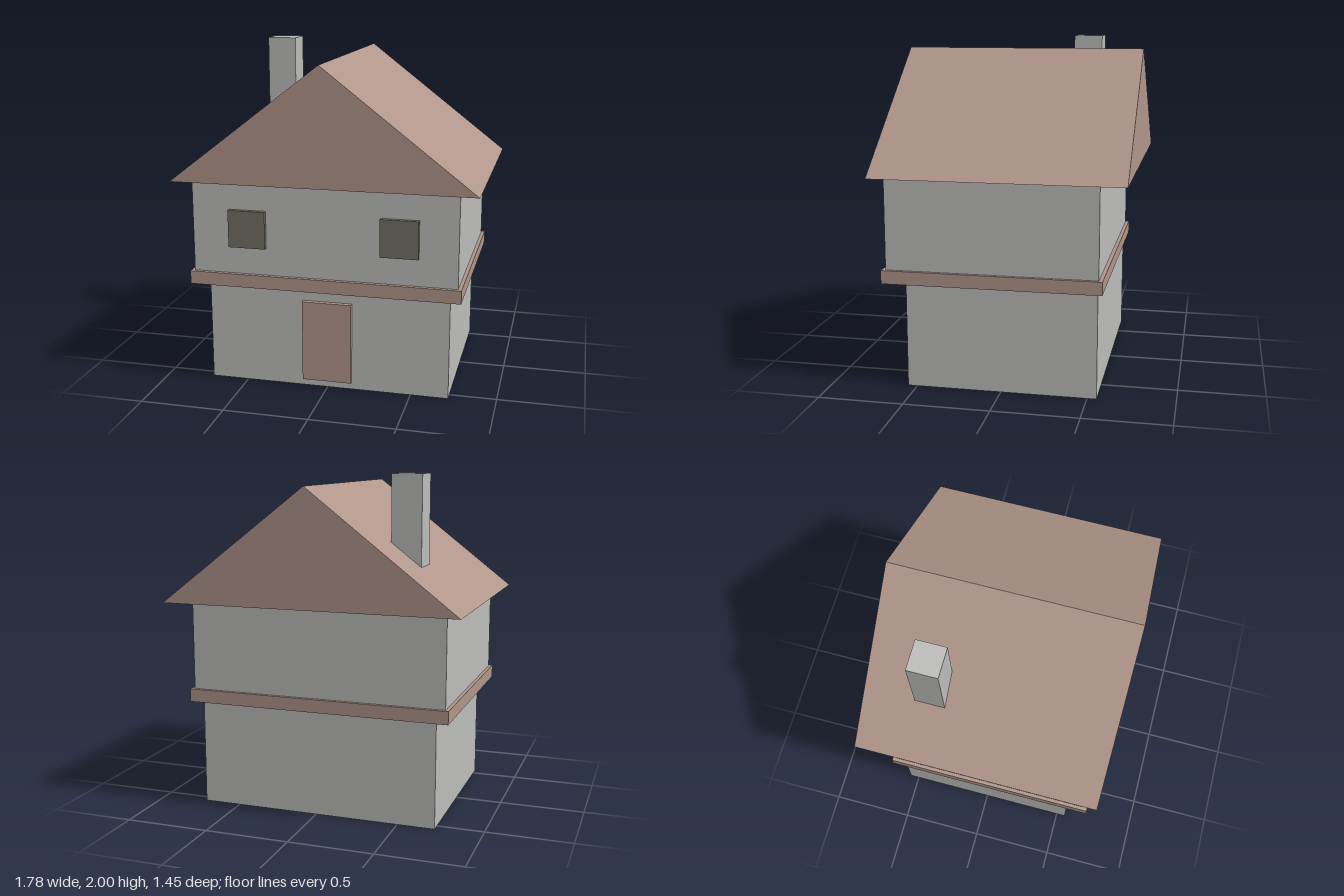
import * as THREE from 'three';

export function createModel() {
  const model = new THREE.Group();
  model.name = 'house';

  const material = (name, color) => {
    const m = new THREE.MeshStandardMaterial({ color });
    m.name = name;
    return m;
  };
  const plaster = material('grey plaster', 0xbcbdba);
  const clay = material('clay brown', 0xb0958a);
  const shutter = material('dark olive', 0x736f64);
  clay.side = THREE.DoubleSide; // the roof is an open shell

  // Box given by its extents on each axis
  const block = (name, mat, [x0, x1], [y0, y1], [z0, z1]) => {
    const mesh = new THREE.Mesh(new THREE.BoxGeometry(x1 - x0, y1 - y0, z1 - z0), mat);
    mesh.position.set((x0 + x1) / 2, (y0 + y1) / 2, (z0 + z1) / 2);
    mesh.name = name;
    model.add(mesh);
  };

  // Storeys and the ledge between them
  block('lowerWalls', plaster, [-0.723, 0.723], [0, 0.63], [-0.555, 0.555]);
  block('ledge', clay, [-0.798, 0.798], [0.63, 0.708], [-0.587, 0.68]);
  block('upperWalls', plaster, [-0.777, 0.777], [0.708, 1.25], [-0.565, 0.657]);

  // Door and windows
  block('door', clay, [-0.147, 0.147], [0.047, 0.535], [0.555, 0.584]);
  block('rightWindow', shutter, [-0.555, -0.335], [0.87, 1.09], [0.657, 0.684]);
  block('leftWindow', shutter, [0.335, 0.555], [0.87, 1.09], [0.657, 0.684]);

  // Chimney
  block('chimney', plaster, [-0.59, -0.412], [1.25, 2], [-0.425, -0.247]);

  // Gable roof, open underneath: two gables and two slopes
  const w = 0.888, d = 0.723, eave = 1.25, ridge = 1.935;
  const [fl, fr, ft] = [[-w, eave, d], [w, eave, d], [0, ridge, d]];
  const [bl, br, bt] = [[-w, eave, -d], [w, eave, -d], [0, ridge, -d]];
  const corners = [
    fl, fr, ft, br, bl, bt, // gables
    fr, br, bt, fr, bt, ft, // left slope
    bl, fl, ft, bl, ft, bt, // right slope
  ];
  const roofGeometry = new THREE.BufferGeometry();
  roofGeometry.setAttribute('position', new THREE.Float32BufferAttribute(corners.flat(), 3));
  roofGeometry.computeVertexNormals();
  const roof = new THREE.Mesh(roofGeometry, clay);
  roof.name = 'roof';
  model.add(roof);

  return model;
}
